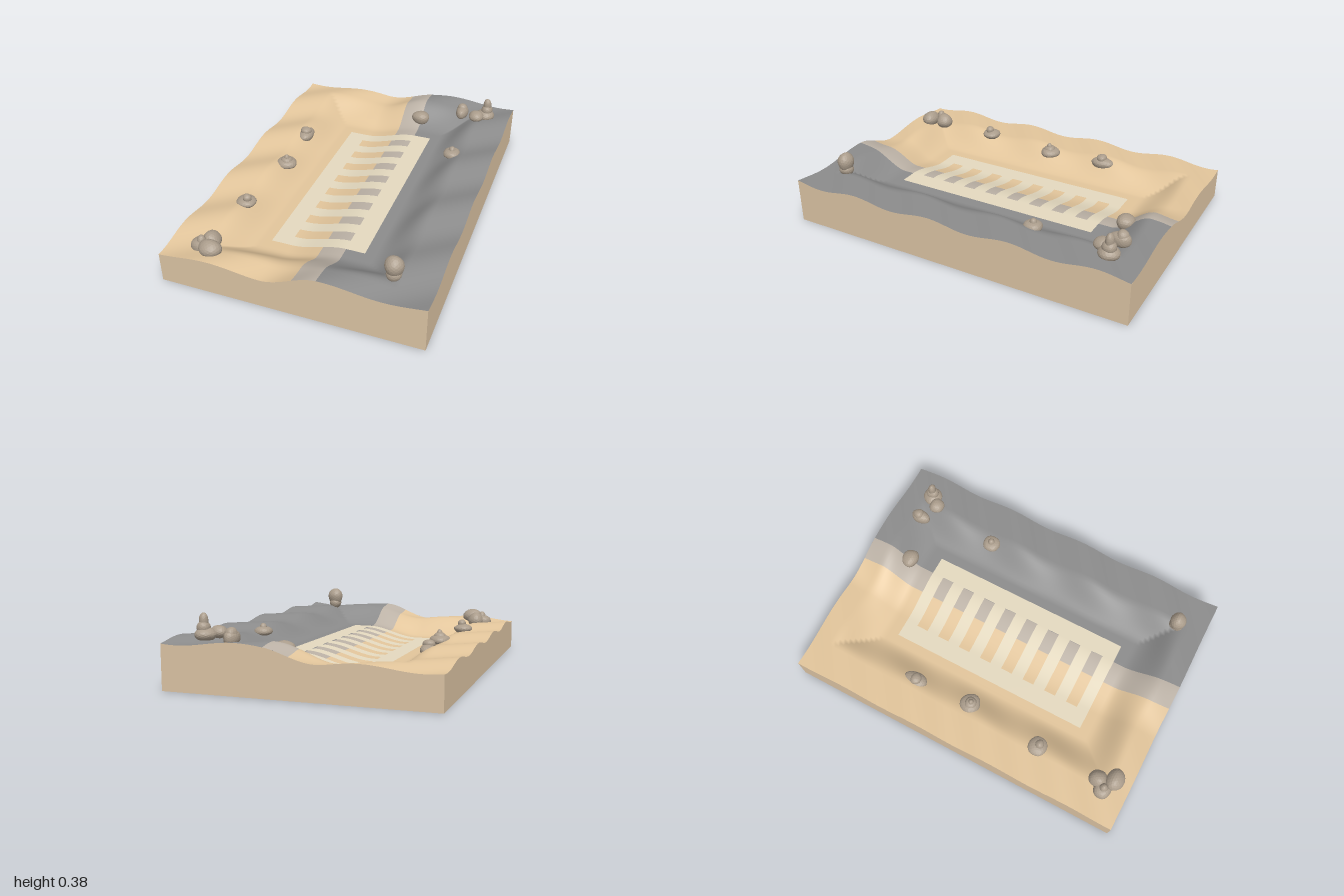
import * as THREE from 'three';

const W = 0.713, D = 1; // half width and half depth of the block

// Ground height: a low bench, a ramp and a high bench with diagonal ripples.
// A smooth rectangular hollow is sunk into the middle.
function groundHeight(x, z) {
  const base = 0.183 + 0.064 * THREE.MathUtils.smoothstep(x, -0.15, 0.16);
  const edge = Math.max((Math.abs(x) - 0.32) / 0.21, (Math.abs(z) - 0.67) / 0.22);
  const outside = THREE.MathUtils.smoothstep(edge, 0, 1);
  const ripple = 0.014 * Math.cos(10.05 * x + 13.2 * z - 2.52);
  return base + ripple * outside - 0.1 * (1 - outside);
}

function material(color, flatShading = false) {
  return new THREE.MeshStandardMaterial({ color, flatShading, side: THREE.DoubleSide });
}

function addMesh(parent, name, geometry, mat) {
  const mesh = new THREE.Mesh(geometry, mat);
  mesh.name = name;
  parent.add(mesh);
  return mesh;
}

// Grid of points from a rule p(u, v) with smooth normals
function grid(nu, nv, point) {
  const pos = [], index = [];
  for (let j = 0; j <= nv; j++) {
    for (let i = 0; i <= nu; i++) pos.push(...point(i / nu, j / nv));
  }
  for (let j = 0; j < nv; j++) {
    for (let i = 0; i < nu; i++) {
      const a = j * (nu + 1) + i, b = a + 1, c = a + nu + 1, d = c + 1;
      index.push(a, c, b, b, c, d);
    }
  }
  const g = new THREE.BufferGeometry();
  g.setAttribute('position', new THREE.Float32BufferAttribute(pos, 3));
  g.setIndex(index);
  g.computeVertexNormals();
  return g;
}

// Rectangle draped over the ground, with normals taken from the slope
function drape(x0, x1, z0, z1, lift = 0) {
  const nx = Math.max(2, Math.ceil((x1 - x0) / 0.02));
  const nz = Math.max(2, Math.ceil((z1 - z0) / 0.02));
  const g = grid(nx, nz, (u, v) => {
    const x = x0 + (x1 - x0) * u, z = z0 + (z1 - z0) * v;
    return [x, groundHeight(x, z) + lift, z];
  });
  const p = g.attributes.position, e = 0.004, n = new THREE.Vector3();
  for (let i = 0; i < p.count; i++) {
    const x = p.getX(i), z = p.getZ(i);
    n.set(groundHeight(x - e, z) - groundHeight(x + e, z), 2 * e,
      groundHeight(x, z - e) - groundHeight(x, z + e)).normalize();
    g.attributes.normal.setXYZ(i, n.x, n.y, n.z);
  }
  return g;
}

// Block side between two corners, from y = 0 up to the ground
function wall(xa, za, xb, zb) {
  return grid(100, 1, (u, v) => {
    const x = xa + (xb - xa) * u, z = za + (zb - za) * u;
    return [x, v ? 0 : groundHeight(x, z), z];
  });
}

// Weathered stone: a sphere pushed in and out by a few waves
function stoneGeometry(rx, ry, rz, seed) {
  const g = new THREE.IcosahedronGeometry(1, 3);
  const p = g.attributes.position, v = new THREE.Vector3();
  for (let i = 0; i < p.count; i++) {
    v.fromBufferAttribute(p, i);
    const k = 1 + 0.03 * Math.sin(3.1 * v.x + seed) + 0.03 * Math.sin(4.3 * v.z + 2 * seed)
      + 0.02 * Math.sin(5.2 * v.y + 3 * seed);
    p.setXYZ(i, v.x * rx * k, v.y * ry * k, v.z * rz * k);
  }
  g.computeVertexNormals();
  return g;
}

export function createModel() {
  const model = new THREE.Group();
  const sand = material(0xe2c59b), side = material(0xdcc4a4);
  const ramp = material(0xbcb2a6), rock = material(0x8c8c8c);
  const matting = material(0xe4d9bf), stone = material(0xaa9c8b, true);

  // Ground surface in three strips
  addMesh(model, 'sandGround', drape(-W, 0.03, -D, D), sand);
  addMesh(model, 'rampBand', drape(0.03, 0.16, -D, D), ramp);
  addMesh(model, 'greyGround', drape(0.16, W, -D, D), rock);

  // Block sides and underside
  addMesh(model, 'frontWall', wall(-W, D, W, D), side);
  addMesh(model, 'rightWall', wall(W, D, W, -D), side);
  addMesh(model, 'backWall', wall(W, -D, -W, -D), side);
  addMesh(model, 'leftWall', wall(-W, -D, -W, D), side);
  const base = addMesh(model, 'underside', new THREE.PlaneGeometry(2 * W, 2 * D), side);
  base.rotation.x = Math.PI / 2;

  // Slotted mat lying in the hollow: two rails and nine cross bars
  const mat = new THREE.Group();
  mat.name = 'slottedMat';
  model.add(mat);
  const lift = 0.004, x0 = -0.268, x1 = 0.266, s0 = -0.165, s1 = 0.16, zEnd = 0.605;
  addMesh(mat, 'lowRail', drape(x0, s0, -zEnd, zEnd, lift), matting);
  addMesh(mat, 'highRail', drape(s1, x1, -zEnd, zEnd, lift), matting);
  const pitch = 0.1425, half = 0.035;
  for (let i = 0; i <= 8; i++) {
    const za = i === 0 ? -zEnd : (i - 4.5) * pitch + half;
    const zb = i === 8 ? zEnd : (i - 3.5) * pitch - half;
    addMesh(mat, 'crossBar', drape(s0, s1, za, zb, lift), matting);
  }

  // Stones: x, z, radii, height of the centre above the ground
  const stones = [
    [-0.48, -0.35, 0.047, 0.035, 0.07, -0.01], [-0.478, -0.345, 0.036, 0.025, 0.03, 0.022],
    [-0.455, -0.005, 0.06, 0.03, 0.06, 0.012], [-0.455, -0.002, 0.034, 0.022, 0.034, 0.034],
    [-0.453, 0.0, 0.016, 0.02, 0.016, 0.052],
    [-0.495, 0.445, 0.058, 0.03, 0.052, 0.006], [-0.485, 0.452, 0.024, 0.026, 0.026, 0.038],
    [-0.54, 0.865, 0.055, 0.04, 0.05, 0.012], [-0.535, 0.867, 0.026, 0.035, 0.026, 0.037],
    [-0.5, 0.82, 0.05, 0.05, 0.05, 0.026], [-0.465, 0.905, 0.06, 0.05, 0.052, 0.022],
    [0.157, -0.755, 0.056, 0.042, 0.048, 0.025],
    [0.412, -0.825, 0.04, 0.04, 0.058, 0.042], [0.412, -0.835, 0.033, 0.036, 0.034, 0.056],
    [0.515, -0.77, 0.045, 0.035, 0.044, 0.025], [0.562, -0.825, 0.056, 0.04, 0.056, 0.018],
    [0.57, -0.828, 0.036, 0.04, 0.036, 0.05], [0.57, -0.828, 0.024, 0.045, 0.024, 0.085],
    [0.465, -0.365, 0.05, 0.028, 0.052, 0.014], [0.465, -0.367, 0.02, 0.02, 0.02, 0.038],
    [0.495, 0.83, 0.04, 0.04, 0.04, 0.025], [0.494, 0.83, 0.047, 0.057, 0.047, 0.07],
  ];
  stones.forEach(([x, z, rx, ry, rz, up], i) => {
    const s = addMesh(model, 'stone', stoneGeometry(rx, ry, rz, 1.7 * i), stone);
    s.position.set(x, groundHeight(x, z) + up, z);
  });

  return model;
}
